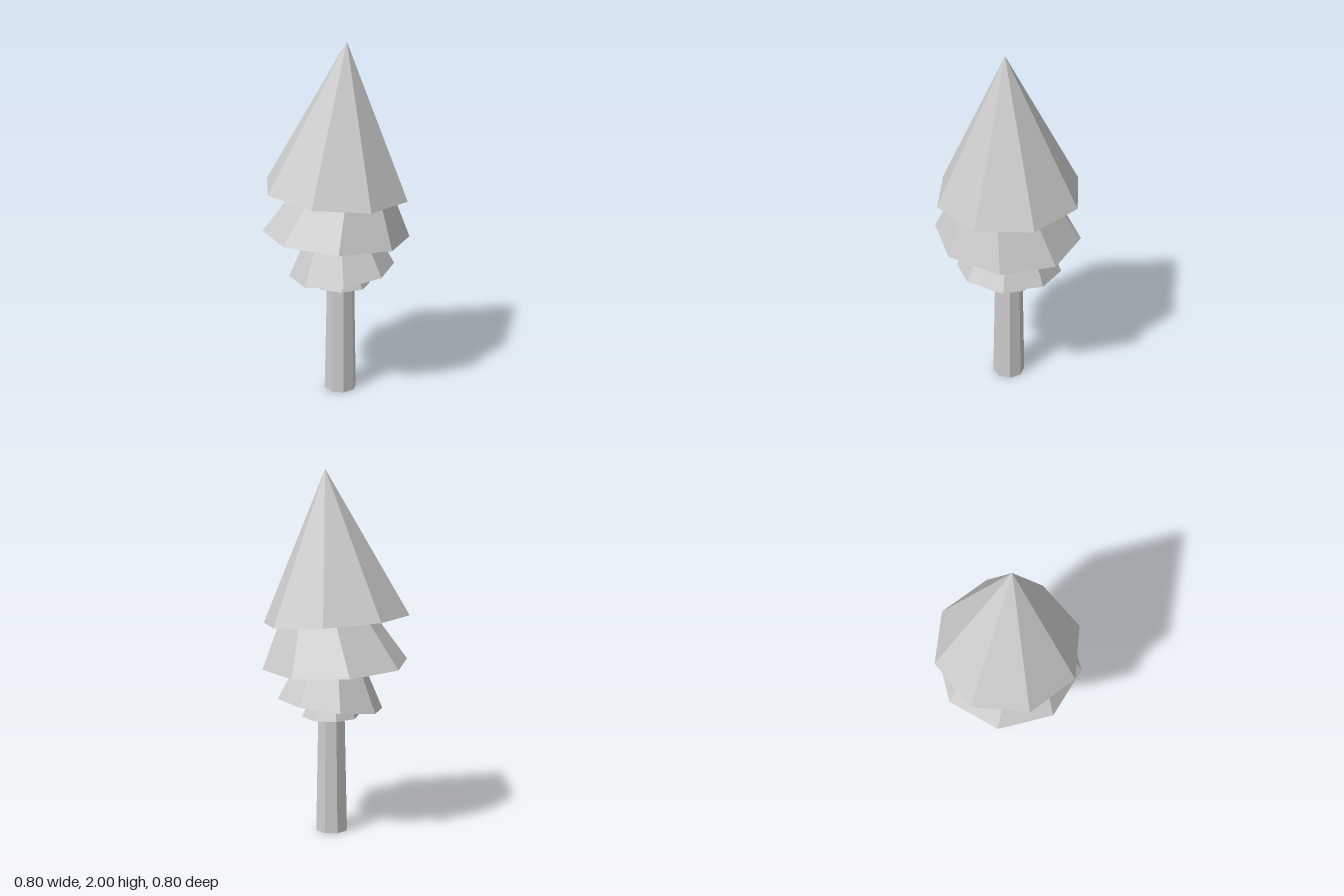
import * as THREE from 'three';

const SIDES = 8;

// Eight-sided ring-to-ring shell: rings are [x, y, z, radius]; turn is the angle of
// one corner from +z in degrees; tilt is the slope of the rings along x and z.
function taperedTier(name, bottom, top, turn, tilt, open = false) {
  const [bx, by, bz, br] = bottom;
  const [tx, ty, tz, tr] = top;
  const h = ty - by;
  let geometry = new THREE.CylinderGeometry(
    tr, br, h, SIDES, 1, open, THREE.MathUtils.degToRad(turn));
  const p = geometry.attributes.position;
  for (let i = 0; i < p.count; i++) {
    const t = p.getY(i) / h + 0.5;
    const x = p.getX(i), z = p.getZ(i);
    p.setXYZ(i,
      x + THREE.MathUtils.lerp(bx, tx, t),
      by + t * h + tilt[0] * x + tilt[1] * z,
      z + THREE.MathUtils.lerp(bz, tz, t));
  }
  geometry = geometry.toNonIndexed();
  geometry.computeVertexNormals();
  const mesh = new THREE.Mesh(geometry, new THREE.MeshStandardMaterial({
    color: 0xcccccc,
    flatShading: true,
    side: open ? THREE.DoubleSide : THREE.FrontSide,
  }));
  mesh.name = name;
  return mesh;
}

export function createModel() {
  const tree = new THREE.Group();
  tree.name = 'pineTree';

  // Trunk, open at the ends
  tree.add(taperedTier('trunk',
    [0.025, 0, -0.005, 0.092], [0.026, 0.7, -0.005, 0.077], 0, [0, 0], true));

  // Foliage tiers from the lowest skirt up to the pointed crown
  tree.add(
    taperedTier('lowestSkirt',
      [0.024, 0.648, 0.013, 0.162], [0.02, 0.76, 0.008, 0.112], -10, [-0.016, 0.03]),
    taperedTier('lowerSkirt',
      [0.032, 0.72, -0.005, 0.294], [0.022, 1.0, -0.009, 0.157], -10, [0.12, 0.026]),
    taperedTier('upperSkirt',
      [0, 0.937, 0, 0.406], [0.045, 1.25, 0.034, 0.232], -10, [-0.056, 0.031]),
    taperedTier('crown',
      [0, 1.188, -0.006, 0.405], [0.053, 2, 0.017, 0], 15, [-0.064, -0.03]),
  );
  return tree;
}
